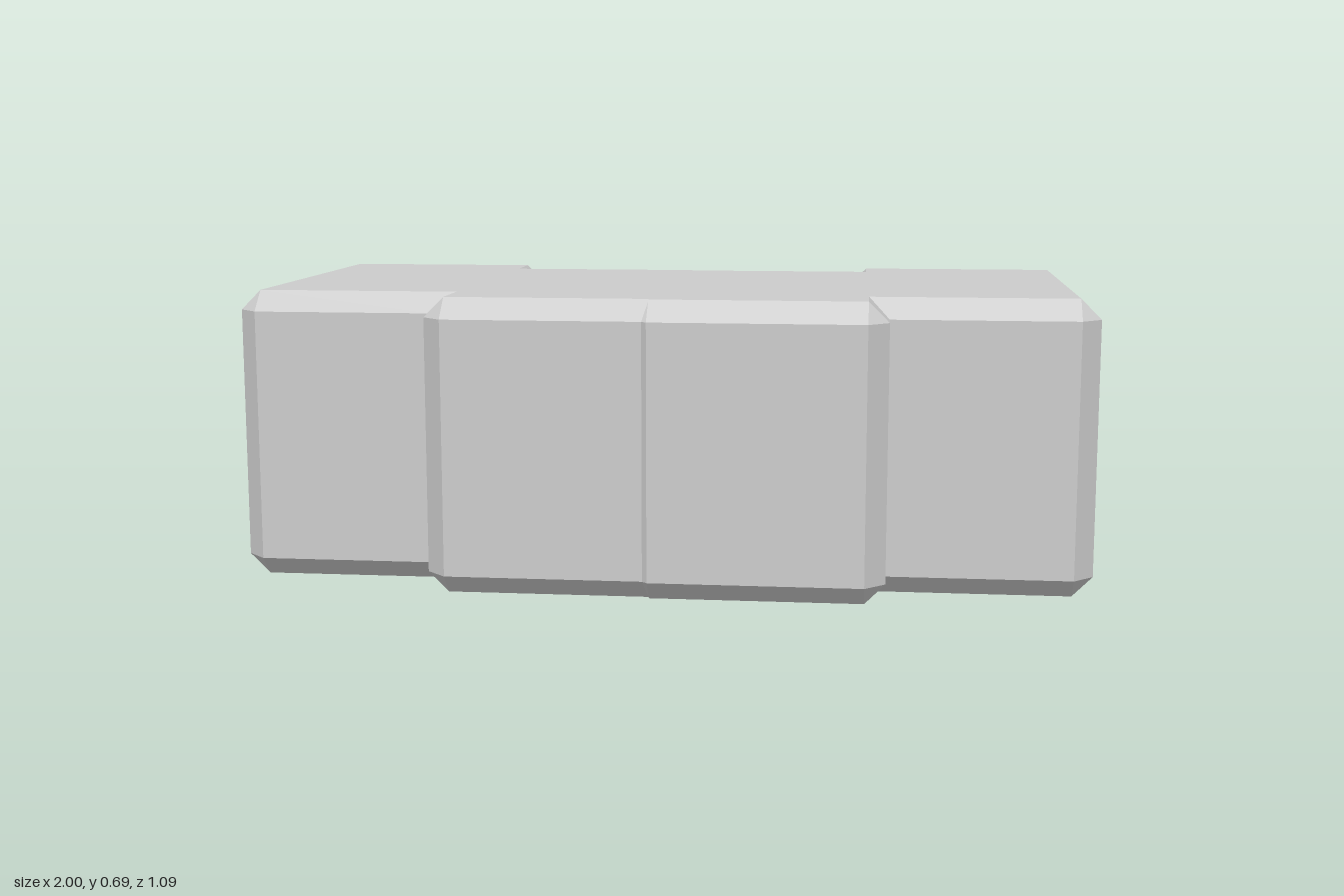
import * as THREE from 'three';

const HEIGHT = 0.686;
const BEVEL = 0.047;

// Flat outline of the top and bottom faces as x, z
const OUTLINE = [
  [-0.953, -0.498], [-0.473, -0.498], [-0.473, -0.367], [0.002, -0.367],
  [0.002, -0.357], [0.467, -0.357], [0.467, -0.477], [0.953, -0.477],
  [0.953, 0.377], [0.48, 0.377], [0.48, 0.498], [-0.01, 0.498],
  [-0.01, 0.486], [-0.48, 0.486], [-0.48, 0.352], [-0.953, 0.352],
].map(([x, z]) => new THREE.Vector2(x, z));

// Pairs each flat corner with its point(s) on the widened wall outline:
// outward corners are chamfered, inward corners are mitred.
function wallPairs(outline, bevel) {
  const n = outline.length;
  const edges = outline.map((p, i) => {
    const dir = outline[(i + 1) % n].clone().sub(p);
    const length = dir.length();
    dir.normalize();
    const offset = Math.min(length, bevel);
    return { dir, short: length < bevel, push: new THREE.Vector2(dir.y, -dir.x).multiplyScalar(offset) };
  });
  const pairs = [];
  outline.forEach((p, i) => {
    const before = edges[(i + n - 1) % n];
    const after = edges[i];
    if (before.dir.cross(after.dir) < 0) {
      pairs.push({ inner: p, outer: p.clone().add(before.push).add(after.push) });
    } else {
      for (const e of [before, after]) {
        if (!e.short) pairs.push({ inner: p, outer: p.clone().add(e.push) });
      }
    }
  });
  return pairs;
}

function bevelledBlock() {
  const positions = [];
  const a = new THREE.Vector3(), b = new THREE.Vector3();
  const triangle = (p, q, r) => {
    a.subVectors(q, p);
    b.subVectors(r, p);
    if (a.cross(b).length() < 1e-8) return;
    for (const v of [p, q, r]) positions.push(v.x, v.y, v.z);
  };
  const at = (p, y) => new THREE.Vector3(p.x, y, p.y);

  // Lower bevel, upright walls and upper bevel
  const pairs = wallPairs(OUTLINE, BEVEL);
  const rings = [
    pairs.map((p) => at(p.inner, 0)),
    pairs.map((p) => at(p.outer, BEVEL)),
    pairs.map((p) => at(p.outer, HEIGHT - BEVEL)),
    pairs.map((p) => at(p.inner, HEIGHT)),
  ];
  for (let k = 0; k < 3; k++) {
    const low = rings[k], high = rings[k + 1];
    for (let i = 0; i < low.length; i++) {
      const j = (i + 1) % low.length;
      triangle(low[i], high[i], high[j]);
      triangle(low[i], high[j], low[j]);
    }
  }

  // Flat top and bottom
  for (const face of THREE.ShapeUtils.triangulateShape(OUTLINE, [])) {
    let [p, q, r] = face.map((i) => OUTLINE[i]);
    if (q.clone().sub(p).cross(r.clone().sub(p)) > 0) [q, r] = [r, q];
    triangle(at(p, HEIGHT), at(q, HEIGHT), at(r, HEIGHT));
    triangle(at(p, 0), at(r, 0), at(q, 0));
  }

  const geometry = new THREE.BufferGeometry();
  geometry.setAttribute('position', new THREE.Float32BufferAttribute(positions, 3));
  geometry.computeVertexNormals();
  return geometry;
}

export function createModel() {
  const group = new THREE.Group();
  group.name = 'steppedBlock';
  const material = new THREE.MeshStandardMaterial({ color: 0xcccccc, flatShading: true });
  const block = new THREE.Mesh(bevelledBlock(), material);
  block.name = 'block';
  group.add(block);
  return group;
}
